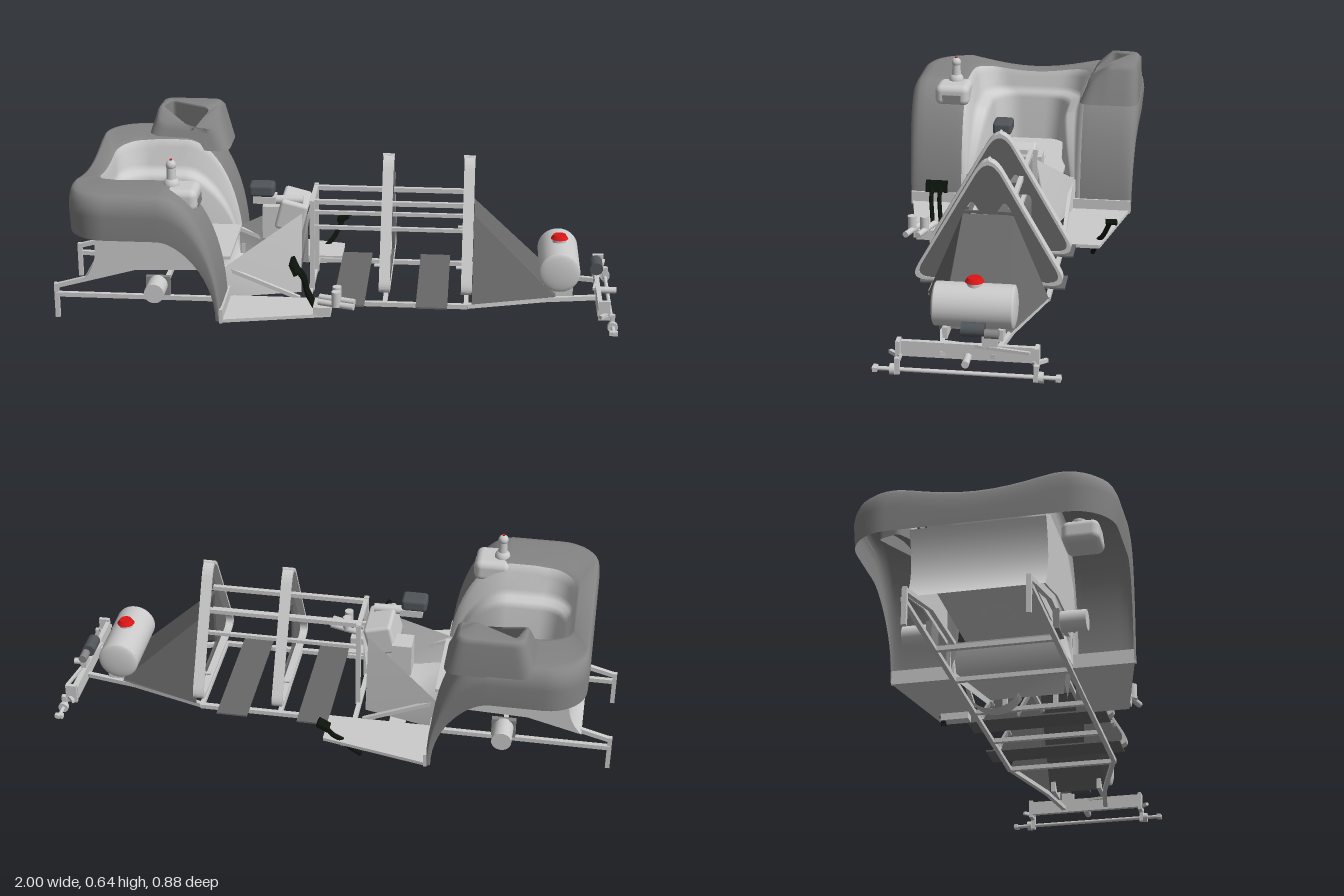
import * as THREE from 'three';
import { RoundedBoxGeometry } from 'three/addons/geometries/RoundedBoxGeometry.js';

const GREY = 0xcccccc, DARK = 0x858585, PLATE = 0x686868, BLACK = 0x0c140c, MOTOR = 0x50555a, RED = 0xdd1515;
const V = (a) => new THREE.Vector3(...a);

export function createModel() {
  const root = new THREE.Group();
  const add = (name, geo, color = GREY, pos = [0, 0, 0], double = false) => {
    const m = new THREE.Mesh(geo, new THREE.MeshStandardMaterial({ color, side: double ? THREE.DoubleSide : THREE.FrontSide }));
    m.name = name;
    m.position.set(...pos);
    root.add(m);
    return m;
  };
  const box = (name, size, pos, color) => add(name, new THREE.BoxGeometry(...size), color, pos);
  const cyl = (name, r, len, axis, pos, color, r2 = r) => {
    const g = new THREE.CylinderGeometry(r, r2, len, 28);
    if (axis === 'x') g.rotateZ(-Math.PI / 2);
    if (axis === 'z') g.rotateX(Math.PI / 2);
    return add(name, g, color, pos);
  };
  // square bar between two points
  const bar = (name, a, b, w) => {
    const p = V(a), q = V(b);
    const m = add(name, new THREE.BoxGeometry(w, w, p.distanceTo(q)), GREY, p.clone().add(q).multiplyScalar(0.5).toArray());
    m.lookAt(q);
    return m;
  };
  const tube = (name, pts, r, color) =>
    add(name, new THREE.TubeGeometry(new THREE.CatmullRomCurve3(pts.map(V)), 24, r, 10), color);
  // surface through rows of points
  const loft = (rows) => {
    const n = rows[0].length, idx = [];
    for (let i = 0; i < rows.length - 1; i++) for (let j = 0; j < n - 1; j++) {
      const a = i * n + j, b = a + n;
      idx.push(a, b, a + 1, b, b + 1, a + 1);
    }
    const g = new THREE.BufferGeometry();
    g.setAttribute('position', new THREE.Float32BufferAttribute(rows.flat(2), 3));
    g.setIndex(idx);
    g.computeVertexNormals();
    return g;
  };
  // polygon with rounded corners, each point [x, y, radius]
  const rounded = (pts, target = new THREE.Shape()) => {
    pts.forEach(([x, y, r], i) => {
      const c = new THREE.Vector2(x, y);
      const toward = (k) => {
        const o = pts[(i + k + pts.length) % pts.length];
        return c.clone().add(new THREE.Vector2(o[0], o[1]).sub(c).setLength(r || 0.0001));
      };
      const a = toward(-1), b = toward(1);
      if (i === 0) target.moveTo(a.x, a.y); else target.lineTo(a.x, a.y);
      target.quadraticCurveTo(x, y, b.x, b.y);
    });
    target.closePath();
    return target;
  };
  const extrude = (shape, depth) => new THREE.ExtrudeGeometry(shape, { depth, bevelEnabled: false, curveSegments: 12 });

  // Body: fenders, back deck and tub swept round a U
  const half = [];
  for (let i = 0; i <= 14; i++) half.push({ a: (Math.PI / 2) * (1 - i / 14), o: [-0.58, 0.44], n: [-0.58, 0.21] });
  for (let i = 1; i <= 3; i++) half.push({ a: 0, o: [-0.58 - 0.06 * i, 0.44], n: [-0.58 - 0.045 * i, 0.21] });
  for (let i = 1; i <= 8; i++) {
    const t = (i / 8) * Math.PI / 2, s = Math.sin(t), c = Math.cos(t);
    half.push({ a: 0, o: [-0.76 - 0.14 * s, 0.3 + 0.14 * c], n: [-0.715 - 0.105 * s, 0.11 + 0.1 * c] });
  }
  for (let i = 1; i <= 5; i++) half.push({ a: 0, o: [-0.9, 0.3 * (1 - i / 5)], n: [-0.82, 0.11 * (1 - i / 5)] });
  const flip = (p) => ({ a: p.a, o: [p.o[0], -p.o[1]], n: [p.n[0], -p.n[1]] });
  const path = [...half, ...half.slice(0, -1).reverse().map(flip)];
  // section: [fraction from outer edge to tub edge, height factor]
  const sweep = (section) => loft(path.map(({ a, o, n }) => section.map(([f, k]) => {
    const sin = Math.sin(a), cos = Math.cos(a);
    const g = f > 1 ? 1 + (f - 1) * cos : f;
    const z = (o[1] + (n[1] - o[1]) * g) * (1 - 0.04 * sin * sin * (1 - g));
    const x = o[0] + (n[0] - o[0]) * g + 0.21 * sin * (k + (1 - k) * 0.75 * sin);
    const dip = o[0] < -0.75 && k > 0.8 ? 0.035 * Math.max(0, Math.cos(z * Math.PI / 0.5)) : 0;
    return [x, 0.1 + 0.445 * k * cos - dip, z];
  })));
  add('fenderShell', sweep([[0.03, 0.65], [0, 0.84], [0.02, 0.91], [0.07, 0.965], [0.14, 0.99], [0.25, 1], [0.8, 1], [0.92, 0.985]]), DARK, [0, 0, 0], true);
  add('tubLining', sweep([[0.92, 0.985], [1, 0.93], [1.03, 0.78], [1.1, 0.74], [1.22, 0.725], [1.28, 0.68], [1.32, 0.3]]), GREY, [0, 0, 0], true);
  box('tubFloor', [0.42, 0.012, 0.32], [-0.58, 0.23, 0]);
  const pad = add('seatPad', new THREE.SphereGeometry(1, 24, 12), GREY, [-0.57, 0.237, 0]);
  pad.scale.set(0.08, 0.02, 0.075);
  // concave back of the tub, between the fender panels
  const tail = new THREE.QuadraticBezierCurve(new THREE.Vector2(-0.87, 0.4), new THREE.Vector2(-0.8, 0.24), new THREE.Vector2(-0.89, 0.15));
  add('tubBack', loft(tail.getPoints(12).map((p) => [[p.x, p.y, 0.22], [p.x, p.y, -0.22]])), GREY, [0, 0, 0], true);

  // Raised pod with a slanted opening, on the right fender: rings up the outside, over the top, down the opening
  const podTop = (z) => 0.64 - 0.85 * Math.max(0, z + 0.32);
  const ring = (corners, r, height) => rounded(corners.map(([x, z]) => [x, z, r])).getSpacedPoints(64).map((p) => [p.x, height(p.y), p.y]);
  const foot = [[-0.73, -0.435], [-0.42, -0.435], [-0.42, -0.21], [-0.74, -0.24]];
  const brow = [[-0.69, -0.432], [-0.455, -0.432], [-0.455, -0.235], [-0.7, -0.255]];
  const lip = [[-0.68, -0.42], [-0.47, -0.42], [-0.47, -0.24], [-0.69, -0.265]];
  const hole = [[-0.655, -0.395], [-0.5, -0.31], [-0.555, -0.24], [-0.68, -0.32]];
  add('sidePod', loft([
    ring(foot, 0.05, () => 0.5),
    ring(brow, 0.04, (z) => podTop(z) - 0.015),
    ring(lip, 0.035, podTop),
    ring(hole, 0.015, podTop),
    ring(hole, 0.015, (z) => podTop(z) - 0.01),
    ring(hole, 0.015, () => 0.5),
  ]), DARK, [0, 0, 0], true);

  // Control console and joystick on the left fender
  add('controlConsole', new RoundedBoxGeometry(0.13, 0.08, 0.13, 4, 0.025), GREY, [-0.52, 0.5, 0.275]);
  box('consoleScreen', [0.004, 0.03, 0.07], [-0.454, 0.49, 0.275], DARK);
  add('joystickBoot', new THREE.SphereGeometry(0.028, 20, 14), GREY, [-0.55, 0.54, 0.27]);
  cyl('joystickStem', 0.015, 0.06, 'y', [-0.55, 0.575, 0.27], GREY, 0.018);
  add('joystickGrip', new THREE.SphereGeometry(0.018, 20, 14), GREY, [-0.55, 0.61, 0.27]);
  cyl('joystickButton', 0.005, 0.008, 'y', [-0.55, 0.627, 0.27], RED);

  for (const s of [1, -1]) {
    // inner fender panel with flared tail
    const panel = new THREE.Shape();
    panel.moveTo(-0.87, 0.4);
    panel.quadraticCurveTo(-0.8, 0.24, -0.89, 0.15);
    panel.lineTo(-0.7, 0.2); panel.lineTo(-0.4, 0.21); panel.lineTo(-0.42, 0.36); panel.lineTo(-0.52, 0.44); panel.lineTo(-0.87, 0.44);
    add('fenderPanel', extrude(panel, 0.006), GREY, [0, 0, s * 0.22 - 0.003]);
    // running board
    const board = rounded([[-0.37, s * 0.2, 0], [0, s * 0.2, 0], [0, s * 0.335, 0], [-0.37, s * 0.415, 0]]);
    add('runningBoard', extrude(board, 0.012).rotateX(Math.PI / 2), GREY, [0, 0.105, 0]);
    box('fenderFoot', [0.012, 0.05, 0.22], [-0.37, 0.118, s * 0.31]);
    // cowl side wall, tapering forward
    add('cowlSide', loft([[[-0.39, 0.1, s * 0.21], [-0.39, 0.21, s * 0.21]], [[-0.12, 0.1, s * 0.14], [-0.12, 0.38, s * 0.09]]]), GREY, [0, 0, 0], true);
    // rails, tail legs and sloped stays
    bar('chassisRail', [-0.99, 0.09, s * 0.2], [0.47, 0.09, s * 0.2], 0.016);
    bar('noseRail', [0.47, 0.09, s * 0.195], [0.74, 0.09, s * 0.115], 0.016);
    bar('frontRail', [0.74, 0.09, s * 0.115], [0.94, 0.09, s * 0.08], 0.016);
    box('tailLeg', [0.016, 0.13, 0.016], [-0.99, 0.065, s * 0.195]);
    bar('tailStay', [-0.99, 0.12, s * 0.195], [-0.7, 0.2, s * 0.195], 0.016);
    bar('bodyRail', [-0.7, 0.2, s * 0.195], [-0.39, 0.21, s * 0.195], 0.016);
    bar('bodyBrace', [-0.39, 0.21, s * 0.195], [-0.12, 0.1, s * 0.195], 0.014);
    bar('upperRail', [-0.09, 0.42, s * 0.075], [0.48, 0.42, s * 0.075], 0.016);
    bar('middleRail', [-0.09, 0.325, s * 0.075], [0.48, 0.325, s * 0.075], 0.013);
    box('cowlPost', [0.016, 0.34, 0.016], [-0.085, 0.26, s * 0.09]);
    // drive motors
    cyl('driveMotor', 0.035, 0.09, 'z', [-0.62, 0.145, s * 0.26]);
    box('motorMount', [0.085, 0.07, 0.02], [-0.62, 0.14, s * 0.21], DARK);
    // axle ends
    bar('axleHook', [0.975, 0.03, s * 0.22], [0.975, 0.085, s * 0.22], 0.016);
    cyl('axleCollar', 0.018, 0.016, 'z', [0.975, 0.045, s * 0.235]);
    box('axleEnd', [0.03, 0.014, 0.016], [0.975, 0.045, s * 0.29]);
    bar('tieRod', [0.965, 0.085, s * 0.21], [0.93, 0.085, s * 0.25], 0.012);
    // small pins through the hoop legs
    for (const x of [0.165, 0.45]) cyl('hoopPin', 0.006, 0.045, 'x', [x, 0.235, s * 0.2]);
  }
  for (const x of [-0.62, -0.37, -0.09, 0.18, 0.465]) box('crossMember', [0.016, 0.016, 0.4], [x, 0.09, 0]);
  box('cowlTopBar', [0.016, 0.016, 0.2], [-0.085, 0.42, 0]);

  // Cowl with its steering unit
  add('cowlFloor', loft([[[-0.4, 0.215, -0.2], [-0.4, 0.215, 0.2]], [[-0.38, 0.11, -0.19], [-0.38, 0.11, 0.19]], [[-0.14, 0.11, -0.13], [-0.14, 0.11, 0.13]], [[-0.1, 0.38, -0.09], [-0.1, 0.38, 0.09]]]), GREY, [0, 0, 0], true);
  const dash = add('dashPanel', new RoundedBoxGeometry(0.1, 0.11, 0.17, 3, 0.012), GREY, [-0.16, 0.36, 0]);
  dash.rotation.z = -0.25;
  cyl('steeringColumn', 0.016, 0.14, 'x', [-0.19, 0.415, 0.05]);
  add('steeringMotor', new RoundedBoxGeometry(0.09, 0.045, 0.07, 3, 0.012), MOTOR, [-0.265, 0.455, 0.05]);
  box('steeringBracket', [0.08, 0.025, 0.06], [-0.255, 0.42, 0.05]);
  box('cowlBox', [0.07, 0.12, 0.08], [-0.24, 0.3, -0.06]);

  // Triangular hoops with windowed bulkheads
  const tri = (d) => [[0, 0.62 - d * 2, 0.1 - d], [-0.27 + d * 1.7, 0.145 + d, 0.06], [0.27 - d * 1.7, 0.145 + d, 0.06]];
  for (const [x, w, top] of [[0.18, 0.11, 0.36], [0.465, 0.085, 0.39]]) {
    const rim = rounded(tri(0));
    rim.holes.push(rounded(tri(0.009), new THREE.Path()));
    add('hoopRim', extrude(rim, 0.038).rotateY(Math.PI / 2), GREY, [x - 0.019, 0, 0]);
    const plate = rounded(tri(0.005));
    plate.holes.push(rounded([[-w, 0.17, 0.01], [-w, top, 0.02], [w, top, 0.02], [w, 0.17, 0.01]], new THREE.Path()));
    for (const s of [-1, 1]) plate.holes.push(rounded([[s * 0.03, 0.4, 0], [s * 0.08, 0.4, 0], [s * 0.06, 0.43, 0], [s * 0.05, 0.43, 0]], new THREE.Path()));
    add('hoopBulkhead', extrude(plate, 0.008).rotateY(Math.PI / 2), PLATE, [x + 0.008, 0, 0]);
    cyl('hoopBolt', 0.006, 0.042, 'x', [x, 0.575, 0]);
  }

  // Floor plates and wedge nose
  for (const x of [0.055, 0.345]) box('floorPlate', [0.11, 0.006, 0.5], [x, 0.1, 0], PLATE);
  add('noseWedge', loft([
    [[0.485, 0.1, 0.205], [0.485, 0.39, 0.085], [0.485, 0.39, -0.085], [0.485, 0.1, -0.205]],
    [[0.78, 0.1, 0.115], [0.78, 0.105, 0.11], [0.78, 0.105, -0.11], [0.78, 0.1, -0.115]],
  ]).toNonIndexed(), PLATE, [0, 0, 0], true).geometry.computeVertexNormals();

  // Tank with filler cap
  cyl('tank', 0.072, 0.25, 'z', [0.79, 0.197, 0]);
  for (const s of [1, -1]) {
    const end = add('tankEnd', new THREE.SphereGeometry(0.072, 28, 16), GREY, [0.79, 0.197, s * 0.125]);
    end.scale.z = 0.2;
    box('tankSaddle', [0.1, 0.04, 0.016], [0.79, 0.115, s * 0.09]);
  }
  cyl('fillerNeck', 0.024, 0.02, 'y', [0.79, 0.272, 0]);
  cyl('fillerCap', 0.022, 0.014, 'y', [0.79, 0.286, 0], RED, 0.031);

  // Front pump
  cyl('pumpMotor', 0.023, 0.075, 'z', [0.925, 0.173, -0.015], MOTOR);
  cyl('pumpHead', 0.015, 0.045, 'z', [0.935, 0.165, -0.075], DARK);
  box('pumpMount', [0.02, 0.04, 0.05], [0.935, 0.14, -0.07]);

  // Front beam, axle and steering link
  box('frontBeam', [0.016, 0.052, 0.43], [0.93, 0.1, 0]);
  for (const s of [1, -1]) box('beamEnd', [0.04, 0.07, 0.014], [0.945, 0.1, s * 0.22]);
  cyl('frontAxle', 0.007, 0.6, 'z', [0.975, 0.045, 0]);
  cyl('axlePivot', 0.012, 0.07, 'x', [0.965, 0.085, 0]);
  bar('steeringLink', [0.915, 0.12, 0.08], [0.965, 0.12, -0.2], 0.01);

  // Curved strap under the cowl
  add('underStrap', new THREE.CylinderGeometry(0.1, 0.1, 0.06, 24, 1, true, -1.05, 2.1).rotateX(Math.PI / 2).rotateY(Math.PI / 2), GREY, [-0.23, 0.125, -0.09], true);

  // Left pedals with master cylinders
  for (const z of [0.265, 0.295]) tube('brakeArm', [[-0.13, 0.255, z], [-0.1, 0.22, z], [-0.085, 0.16, z - 0.005], [-0.06, 0.105, z - 0.012]], 0.008, BLACK);
  const brake = box('brakePad', [0.014, 0.045, 0.08], [-0.13, 0.255, 0.28], BLACK);
  brake.rotation.z = 0.4;
  for (const z of [0.3, 0.345]) {
    cyl('fluidReservoir', 0.016, 0.055, 'y', [0.02, 0.165, z]);
    const master = cyl('masterCylinder', 0.011, 0.13, 'x', [0.02, 0.142, z - 0.005]);
    master.rotation.y = -0.3;
  }
  box('pedalBracket', [0.06, 0.03, 0.09], [-0.03, 0.115, 0.3]);

  // Right pedal
  tube('throttleArm', [[-0.01, 0.19, -0.37], [-0.04, 0.13, -0.345], [-0.075, 0.09, -0.32], [-0.09, 0.06, -0.31], [-0.13, 0.025, -0.3]], 0.009, BLACK);
  const throttle = box('throttlePad', [0.045, 0.016, 0.04], [-0.01, 0.193, -0.375], BLACK);
  throttle.rotation.z = 0.5;
  box('throttleBracket', [0.04, 0.025, 0.1], [-0.08, 0.08, -0.27]);

  return root;
}
